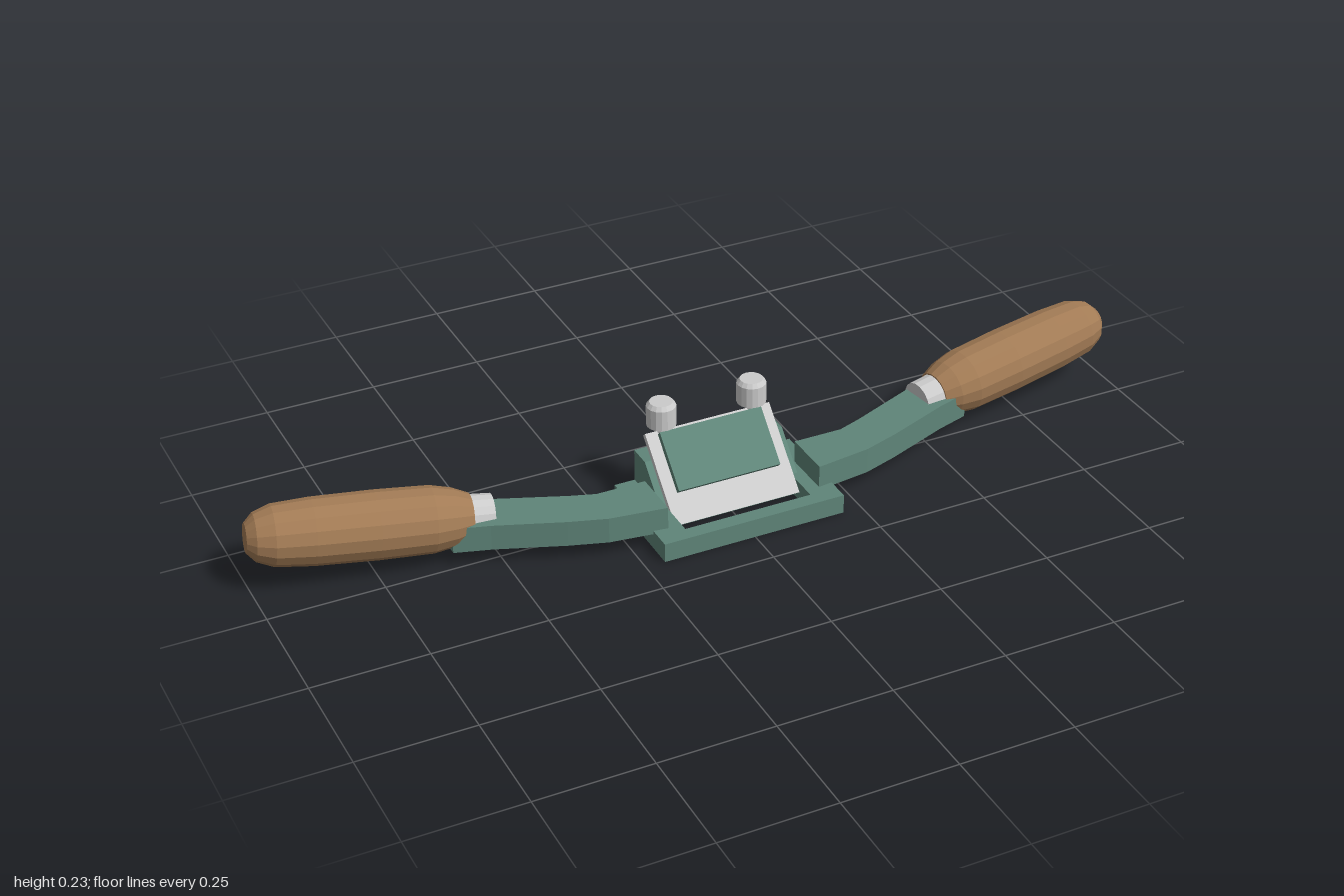
import * as THREE from 'three';

const paint = (color) => new THREE.MeshStandardMaterial({ color, flatShading: true });
const green = paint(0x5f8579);
const wood = paint(0xa27b55);
const steel = paint(0xcccccc);

function add(parent, name, geometry, material) {
  const mesh = new THREE.Mesh(geometry, material);
  mesh.name = name;
  parent.add(mesh);
  return mesh;
}

const shapeOf = (points) => new THREE.Shape(points.map(([a, b]) => new THREE.Vector2(a, b)));
const extrude = (shape, depth) => new THREE.ExtrudeGeometry(shape, { depth, bevelEnabled: false });

// Plan outline in (x, z), raised from y0 to y1
function slab(shape, y0, y1) {
  return extrude(shape, y1 - y0).rotateX(Math.PI / 2).translate(0, y1, 0);
}

// Side profile in (z, y), extruded symmetrically across x
function sideProfile(points, halfWidth) {
  const shape = shapeOf(points.map(([z, y]) => [-z, y]));
  return extrude(shape, halfWidth * 2).translate(0, 0, -halfWidth).rotateY(Math.PI / 2);
}

const lathe = (points, sides) =>
  new THREE.LatheGeometry(points.map(([r, y]) => new THREE.Vector2(r, y)), sides);

function createSide(s) {
  const side = new THREE.Group();
  side.name = s > 0 ? 'leftSide' : 'rightSide';

  // Cranked flat arm
  const plan = [
    [0.175, 0.005], [0.285, 0.005], [0.34, -0.014], [0.51, -0.083], [0.6, -0.105],
    [0.6, -0.005], [0.525, 0.018], [0.38, 0.074], [0.3, 0.1], [0.175, 0.117],
  ].map(([x, z]) => [s * x, z]);
  add(side, 'arm', slab(shapeOf(plan), 0.035, 0.093), green);

  // Grip and ferrule share a tilted axis
  const start = new THREE.Vector3(s * 0.5, 0.082, -0.04);
  const end = new THREE.Vector3(s * 0.997, 0.124, -0.115);
  const axis = end.clone().sub(start).normalize();
  const grip = new THREE.Group();
  grip.name = 'grip';
  grip.position.copy(start);
  grip.quaternion.setFromUnitVectors(new THREE.Vector3(0, 1, 0), axis);
  side.add(grip);
  const length = start.distanceTo(end);
  add(grip, 'ferrule', new THREE.CylinderGeometry(0.044, 0.042, 0.05, 16).translate(0, 0.025, 0), steel);
  add(grip, 'handle', lathe([
    [0, 0.045], [0.047, 0.045], [0.061, 0.08], [0.07, 0.125], [0.072, 0.24], [0.07, 0.37],
    [0.064, 0.45], [0.05, length - 0.018], [0.031, length], [0, length],
  ], 16), wood);

  // Depth adjusting screw
  const screw = new THREE.Group();
  screw.name = 'adjustingScrew';
  screw.position.set(s * 0.105, 0, -0.062);
  side.add(screw);
  add(screw, 'screwStem', new THREE.CylinderGeometry(0.014, 0.014, 0.09, 12).translate(0, 0.14, 0), steel);
  add(screw, 'screwHead', lathe([
    [0, 0.177], [0.032, 0.177], [0.032, 0.223], [0.025, 0.232], [0, 0.232],
  ], 16), steel);
  return side;
}

export function createModel() {
  const model = new THREE.Group();
  model.name = 'spokeshave';

  // Sole plate with the mouth cut through it
  const sole = shapeOf([[-0.207, -0.08], [0.207, -0.08], [0.207, 0.168], [-0.207, 0.168]]);
  sole.holes.push(shapeOf([[-0.145, 0.06], [-0.145, 0.135], [0.145, 0.135], [0.145, 0.06]]));
  add(model, 'sole', slab(sole, 0, 0.043), green);

  // Sloped bed carrying the blade
  add(model, 'bed', sideProfile([[-0.08, 0.04], [0.05, 0.04], [-0.027, 0.117], [-0.08, 0.117]], 0.16), green);

  // Blade at 45 degrees, reaching into the mouth
  add(model, 'blade', sideProfile([[0.087, 0.021], [-0.057, 0.165], [-0.066, 0.156], [0.069, 0.021]], 0.145), steel);

  // Cap clamping the blade
  add(model, 'cap', sideProfile([[0.04, 0.068], [0.05, 0.078], [-0.042, 0.17], [-0.052, 0.16]], 0.118), green);

  for (const s of [1, -1]) model.add(createSide(s));
  return model;
}
